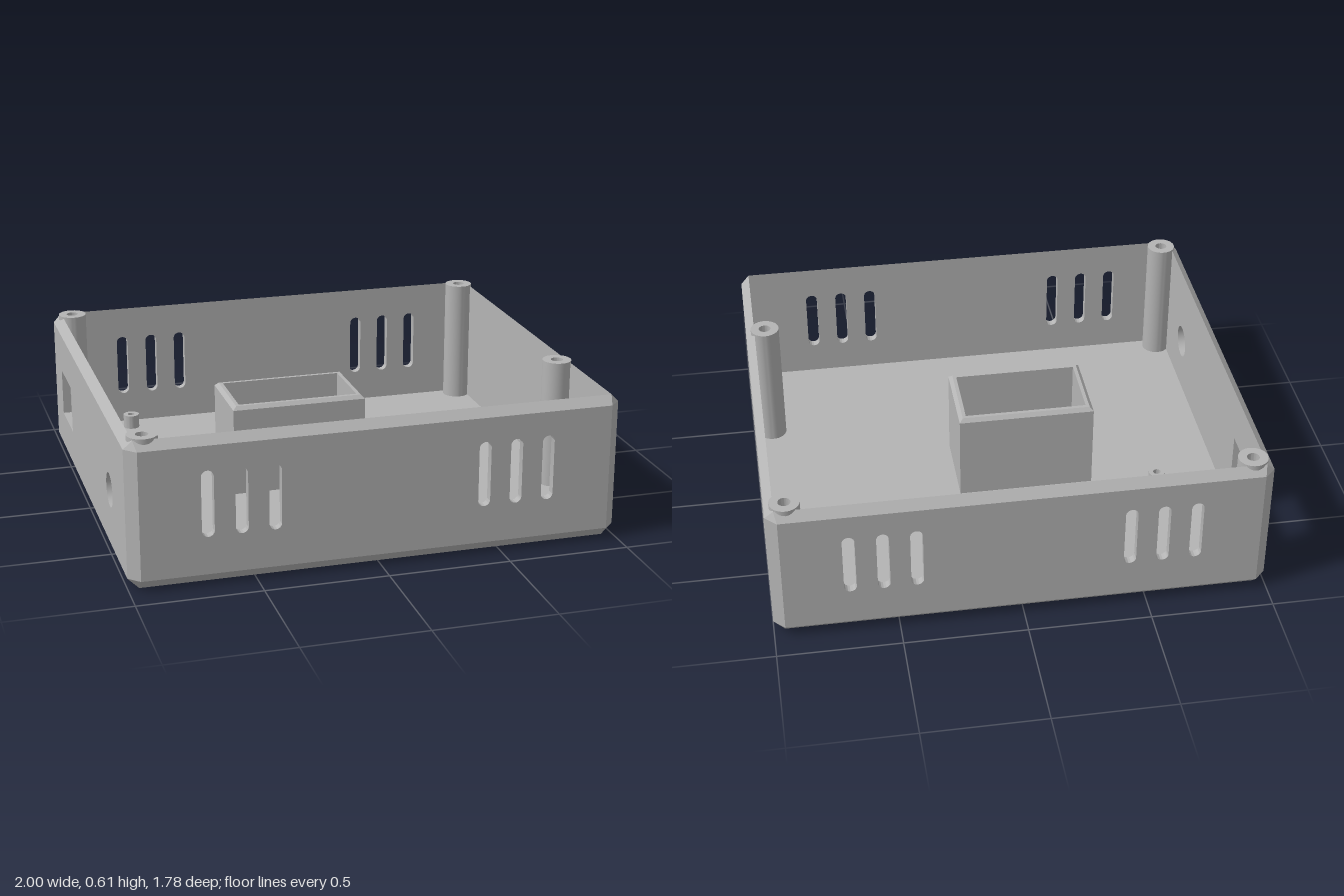
import * as THREE from 'three';
import { toCreasedNormals } from 'three/addons/utils/BufferGeometryUtils.js';

const HX = 1, HZ = 0.89, CH = 0.045, WALL = 0.035;
const RIM = 0.57, TOP = 0.605, FLOOR = 0.065;

// Rectangular outline, or path for use as a hole
function rect(x0, y0, x1, y1, Type = THREE.Path) {
  const p = new Type();
  p.moveTo(x0, y0);
  p.lineTo(x1, y0);
  p.lineTo(x1, y1);
  p.lineTo(x0, y1);
  p.closePath();
  return p;
}

function circle(x, y, r, Type = THREE.Path) {
  return new Type().absarc(x, y, r, 0, Math.PI * 2, false);
}

// Upright vent slot with round ends
function slot(x, y0, y1, r) {
  const p = new THREE.Path();
  p.absarc(x, y1 - r, r, 0, Math.PI, false);
  p.absarc(x, y0 + r, r, Math.PI, Math.PI * 2, false);
  p.closePath();
  return p;
}

function extrude(shape, holes, depth) {
  shape.holes.push(...holes);
  const g = new THREE.ExtrudeGeometry(shape, { depth, bevelEnabled: false, curveSegments: 20 });
  return toCreasedNormals(g, 0.6);
}

// Eight-point ring: a rectangle with corners cut by c
function ring(hx, hz, c, y) {
  const a = hx - c, b = hz - c;
  return [[hx, b], [hx, -b], [a, -hz], [-a, -hz], [-hx, -b], [-hx, b], [-a, hz], [a, hz]]
    .map(([x, z]) => [x, y, z]);
}

// Flat-shaded skin between successive rings
function loft(rings) {
  const pos = [];
  for (let r = 0; r + 1 < rings.length; r++) {
    const lo = rings[r], hi = rings[r + 1];
    for (let i = 0; i < 8; i++) {
      const j = (i + 1) % 8;
      pos.push(...lo[i], ...lo[j], ...hi[j], ...lo[i], ...hi[j], ...hi[i]);
    }
  }
  const g = new THREE.BufferGeometry();
  g.setAttribute('position', new THREE.Float32BufferAttribute(pos, 3));
  g.computeVertexNormals();
  return g;
}

export function createModel() {
  const model = new THREE.Group();
  model.name = 'enclosureBase';
  const grey = new THREE.MeshStandardMaterial({ color: 0xb4b4b4 });
  grey.name = 'greyPlastic';

  function add(name, geometry, parent = model) {
    const mesh = new THREE.Mesh(geometry, grey);
    mesh.name = name;
    parent.add(mesh);
    return mesh;
  }

  // Upright panel whose inner face lies at the given distance, turned about y
  function panel(name, half, y0, y1, holes, thick, dist, turn, parent = model) {
    const g = extrude(rect(-half, y0, half, y1, THREE.Shape), holes, thick);
    g.translate(0, 0, dist);
    g.rotateY(turn);
    return add(name, g, parent);
  }

  // Horizontal slab or upright column from a plan outline (plan y becomes -z)
  function upright(name, shape, holes, y0, y1) {
    const g = extrude(shape, holes, y1 - y0);
    g.rotateX(-Math.PI / 2);
    g.translate(0, y0, 0);
    return add(name, g);
  }

  // Front and back walls with vent slots
  const vents = () => [-0.69, -0.557, -0.425, 0.425, 0.557, 0.69].map(x => slot(x, 0.2, 0.47, 0.025));
  panel('frontWall', HX - CH, CH, RIM, vents(), WALL, HZ - WALL, 0);
  panel('backWall', HX - CH, CH, RIM, vents(), WALL, HZ - WALL, Math.PI);

  // Side wall with a rectangular port and a round socket hole
  panel('portWall', HZ - CH, CH, RIM,
    [rect(-0.66, 0.2, -0.405, 0.4), circle(0.51, 0.28, 0.07)], WALL, HX - WALL, -Math.PI / 2);

  // Opposite side wall: plain inner skin, grooved outer skin
  panel('groovedWallInner', HZ - CH, CH, RIM, [], 0.02, HX - WALL, Math.PI / 2);
  panel('groovedWallOuter', HZ - CH, CH, RIM,
    [rect(-0.67, 0.15, 0.67, 0.17), rect(-0.67, 0.215, 0.67, 0.235)], 0.015, HX - 0.015, Math.PI / 2);

  // Chamfered vertical corners
  for (const sx of [-1, 1]) for (const sz of [-1, 1]) {
    const pts = [[HX - CH, HZ - WALL], [HX - WALL, HZ - WALL], [HX - WALL, HZ - CH], [HX, HZ - CH], [HX - CH, HZ]]
      .map(([x, z]) => new THREE.Vector2(sx * x, -sz * z));
    upright('cornerChamfer', new THREE.Shape(pts), [], CH, RIM);
  }

  // Sloping rim and bottom chamfer
  add('rim', loft([
    ring(HX, HZ, CH, RIM),
    ring(HX - WALL, HZ - WALL, 0, TOP),
    ring(HX - WALL, HZ - WALL, 0, RIM),
  ]));
  add('bottomChamfer', loft([ring(HX - CH, HZ - CH, 0, 0), ring(HX, HZ, CH, CH)]));

  // Floor in two layers, pierced below each screw post
  const posts = [[-0.92, -0.81], [0.92, -0.81], [0.92, 0.4], [-0.92, 0.81]];
  const screwHoles = () => posts.map(([x, z]) => circle(x, -z, 0.022));
  for (const [name, hx, hz, y0, y1] of [
    ['bottomPlate', HX - CH, HZ - CH, 0, CH],
    ['floor', HX - WALL + 0.001, HZ - WALL + 0.001, CH, FLOOR],
  ]) upright(name, rect(-hx, -hz, hx, hz, THREE.Shape), screwHoles(), y0, y1);

  // Tall screw posts, each hole closed by a plug
  for (const [x, z] of posts) {
    upright('screwPost', circle(x, -z, 0.06, THREE.Shape), [circle(x, -z, 0.025)], 0.05, 0.612);
    add('holePlug', new THREE.CylinderGeometry(0.026, 0.026, 0.01, 24)).position.set(x, 0.055, z);
  }

  // Short circuit board standoffs
  for (const [x, z] of [[-0.675, -0.77], [-0.11, -0.6], [-0.69, -0.23], [-0.11, -0.29]]) {
    upright('boardStandoff', circle(x, -z, 0.035, THREE.Shape), [circle(x, -z, 0.016)], 0.06, 0.125);
  }

  // Inner compartment with a chamfered rim and a cable window
  const box = new THREE.Group();
  box.name = 'innerCompartment';
  box.position.set(-0.13, 0, -0.002);
  model.add(box);
  const bx = 0.285, bz = 0.173, t = 0.03, by = 0.435;
  panel('compartmentFront', bx, 0.06, by, [], t, bz - t, 0, box);
  panel('compartmentBack', bx, 0.06, by, [], t, bz - t, Math.PI, box);
  panel('compartmentSide', bz - t, 0.06, by, [], t, bx - t, Math.PI / 2, box);
  panel('compartmentWindowSide', bz - t, 0.06, by, [rect(-0.04, 0.12, 0.1, 0.27)], t, bx - t, -Math.PI / 2, box);
  add('compartmentRim', loft([
    ring(bx, bz, 0, by),
    ring(bx - 0.015, bz - 0.015, 0, 0.45),
    ring(bx - t, bz - t, 0, 0.45),
    ring(bx - t, bz - t, 0, by),
  ]), box);

  return model;
}
